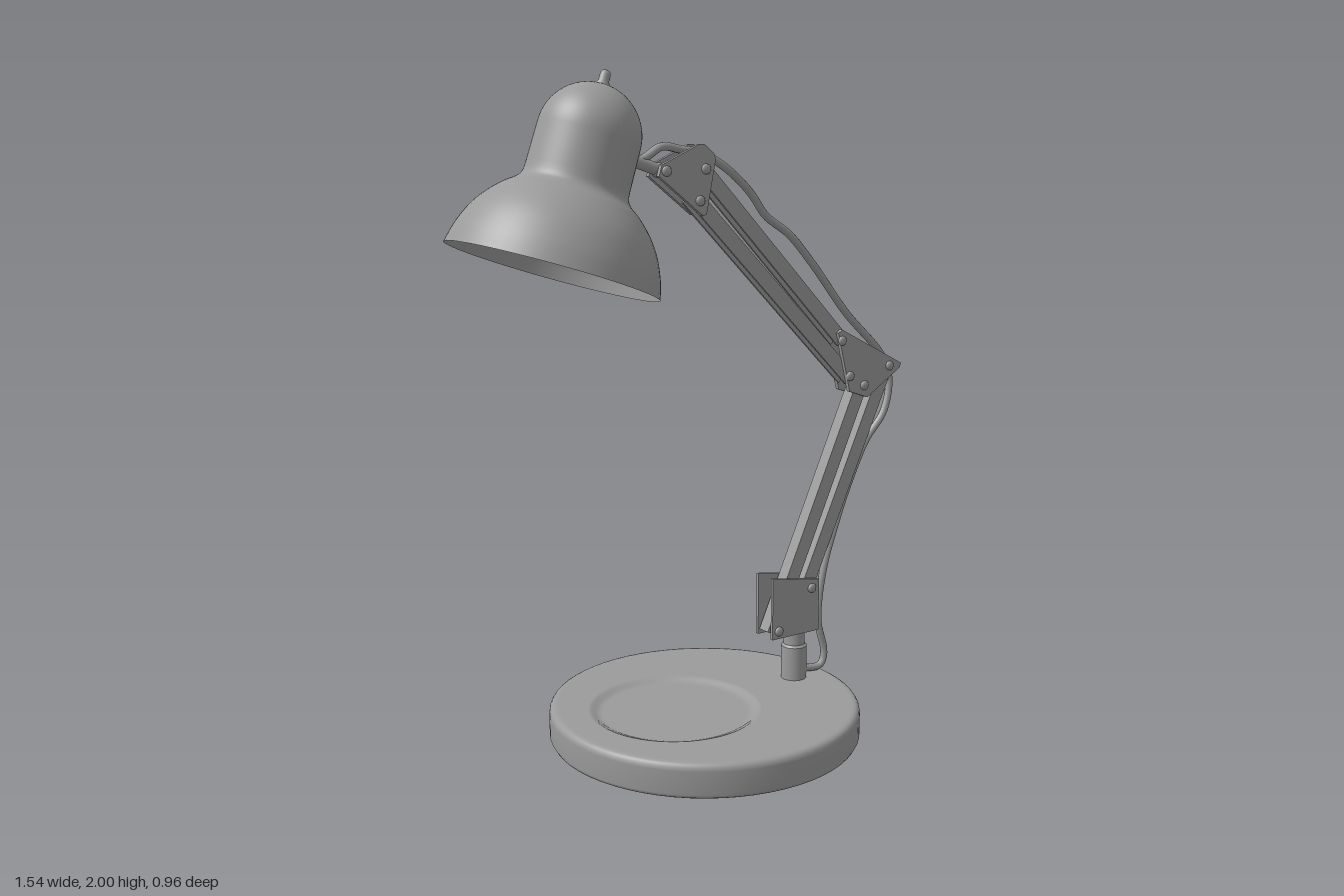
import * as THREE from 'three';

const grey = new THREE.MeshStandardMaterial({ color: 0x9b9b9b });
const greyThin = new THREE.MeshStandardMaterial({ color: 0x9b9b9b, side: THREE.DoubleSide });
const v2 = (pts) => pts.map(([x, y]) => new THREE.Vector2(x, y));

export function createModel() {
  const lamp = new THREE.Group();
  lamp.name = 'deskLamp';

  const add = (name, geometry, parent = lamp, material = grey) => {
    const mesh = new THREE.Mesh(geometry, material);
    mesh.name = name;
    parent.add(mesh);
    return mesh;
  };

  // Lathe whose separate runs meet at sharp edges
  const lathe = (name, runs, parent, material) =>
    runs.forEach((run) => add(name, new THREE.LatheGeometry(v2(run), 64), parent, material));

  // Base: rounded disc, flat top with an off-centre shallow tray
  const base = new THREE.Group();
  base.name = 'base';
  base.position.x = 0.02;
  lamp.add(base);
  lathe('baseBody', [
    [[0, 0], [0.465, 0]],
    [[0.465, 0], [0.474, 0.005], [0.48, 0.016], [0.48, 0.085], [0.478, 0.095], [0.473, 0.102], [0.466, 0.106], [0.457, 0.107], [0.45, 0.107]],
  ], base);
  const top = new THREE.Shape().absarc(0, 0, 0.45, 0, Math.PI * 2);
  top.holes.push(new THREE.Path().absarc(-0.11, 0, 0.266, 0, Math.PI * 2, true));
  add('baseTop', new THREE.ShapeGeometry(top, 32).rotateX(-Math.PI / 2), base).position.y = 0.107;
  const tray = new THREE.LatheGeometry(v2([
    [0.266, 0.107], [0.262, 0.107], [0.256, 0.1055], [0.247, 0.101], [0.238, 0.0965],
    [0.23, 0.0945], [0.222, 0.094], [0.2, 0.094], [0, 0.094],
  ]), 64);
  add('baseTray', tray, base).position.x = -0.11;

  // Post: wide collar with a thinner spindle
  const post = new THREE.Group();
  post.name = 'post';
  post.position.x = 0.37;
  lamp.add(post);
  lathe('postCollar', [
    [[0.041, 0.1], [0.041, 0.215]],
    [[0.041, 0.215], [0.034, 0.222]],
    [[0.034, 0.222], [0.034, 0.285]],
    [[0.034, 0.285], [0, 0.285]],
  ], post);

  // Pair of joint plates with low domed bolt heads on their outer faces
  const joint = (name, corners, pivots, outerZ, depth) => {
    const group = new THREE.Group();
    group.name = name;
    lamp.add(group);
    const plate = new THREE.ExtrudeGeometry(new THREE.Shape(v2(corners)), { depth, bevelEnabled: false });
    for (const z of [outerZ - depth, -outerZ]) add('jointPlate', plate, group).position.z = z;
    for (const [x, y] of pivots) {
      for (const side of [1, -1]) {
        const head = new THREE.LatheGeometry(
          v2([[0.015, 0], [0.015, 0.004], [0.012, 0.007], [0.007, 0.009], [0, 0.0095]]), 20);
        head.rotateX(side * Math.PI / 2);
        add('boltHead', head, group).position.set(x, y, side * outerZ);
      }
    }
  };
  joint('baseBracket', [[0.25, 0.265], [0.435, 0.265], [0.435, 0.435], [0.25, 0.465]],
    [[0.275, 0.29], [0.405, 0.41]], 0.043, 0.01);
  joint('elbowJoint',
    [[0.555, 1.03], [0.63, 1.005], [0.765, 1.09], [0.77, 1.105], [0.52, 1.23], [0.505, 1.22]],
    [[0.52, 1.195], [0.555, 1.08], [0.615, 1.045], [0.72, 1.1]], 0.034, 0.014);
  joint('headJoint',
    [[-0.16, 1.71], [-0.01, 1.597], [0.003, 1.6], [0.035, 1.76], [0.028, 1.775], [-0.005, 1.8], [-0.022, 1.8], [-0.15, 1.742]],
    [[-0.135, 1.725], [0, 1.73], [-0.02, 1.64]], 0.034, 0.014);

  // Arm bars: channels open on the underside
  const channel = new THREE.Shape(v2([
    [-0.024, -0.022], [0.024, -0.022], [0.024, 0.022], [-0.024, 0.022],
    [-0.024, 0.014], [0.014, 0.014], [0.014, -0.014], [-0.024, -0.014],
  ]));
  const bar = (name, from, to) => {
    const a = new THREE.Vector3(...from, 0);
    const dir = new THREE.Vector3(...to, 0).sub(a);
    const length = dir.length();
    dir.normalize();
    const geometry = new THREE.ExtrudeGeometry(channel, { depth: length + 0.03, bevelEnabled: false });
    geometry.translate(0, 0, -0.015);
    geometry.applyMatrix4(new THREE.Matrix4().makeBasis(
      new THREE.Vector3(-dir.y, dir.x, 0), new THREE.Vector3(0, 0, 1), dir).setPosition(a));
    add(name, geometry);
  };
  bar('lowerArmBar', [0.275, 0.29], [0.615, 1.045]);
  bar('lowerArmBar', [0.405, 0.41], [0.715, 1.085]);
  bar('upperArmBar', [0, 1.73], [0.52, 1.205]);
  bar('upperArmBar', [-0.02, 1.64], [0.555, 1.08]);

  // Shade: tilted hollow bell flowing into neck and dome
  const head = new THREE.Group();
  head.name = 'lampHead';
  head.position.set(-0.485, 1.455, 0);
  head.rotation.z = -0.317;
  lamp.add(head);
  const bell = new THREE.SplineCurve(v2([
    [0.305, 0], [0.291, 0.055], [0.265, 0.115], [0.234, 0.16], [0.195, 0.2], [0.164, 0.224], [0.151, 0.243], [0.148, 0.27],
  ])).getPoints(32).map((p) => [p.x, p.y]);
  const dome = [];
  for (let i = 0; i <= 16; i++) {
    const t = (i / 16) * Math.PI / 2;
    dome.push([0.146 * Math.cos(t), 0.385 + 0.146 * Math.sin(t)]);
  }
  lathe('shade', [[...bell, ...dome]], head, greyThin);
  lathe('shadeKnob', [
    [[0.021, 0.522], [0.019, 0.535], [0.015, 0.54], [0.015, 0.56], [0.011, 0.569], [0, 0.573]],
  ], head);

  // Swivel stub between shade and head joint
  const stub = new THREE.TubeGeometry(new THREE.LineCurve3(
    new THREE.Vector3(-0.26, 1.765, 0), new THREE.Vector3(-0.13, 1.725, 0)), 1, 0.018, 16);
  add('swivelStub', stub);
  add('swivelBall', new THREE.SphereGeometry(0.022, 20, 14)).position.set(-0.14, 1.727, 0);

  // Power cable following the arms
  const path = new THREE.CatmullRomCurve3([
    [-0.23, 1.745, 0], [-0.18, 1.765, 0], [-0.13, 1.793, 0], [-0.06, 1.785, -0.005], [0.01, 1.775, -0.005],
    [0.09, 1.735, 0], [0.19, 1.66, -0.01], [0.25, 1.59, -0.012], [0.34, 1.53, -0.01], [0.43, 1.435, -0.005], [0.56, 1.28, 0],
    [0.72, 1.125, 0], [0.75, 1.05, 0], [0.725, 0.945, 0.005], [0.655, 0.855, 0], [0.59, 0.73, 0],
    [0.54, 0.61, 0], [0.485, 0.44, 0], [0.468, 0.28, 0], [0.495, 0.165, 0], [0.48, 0.125, 0], [0.39, 0.13, 0],
  ].map((p) => new THREE.Vector3(...p)));
  add('powerCable', new THREE.TubeGeometry(path, 160, 0.012, 10));

  return lamp;
}
